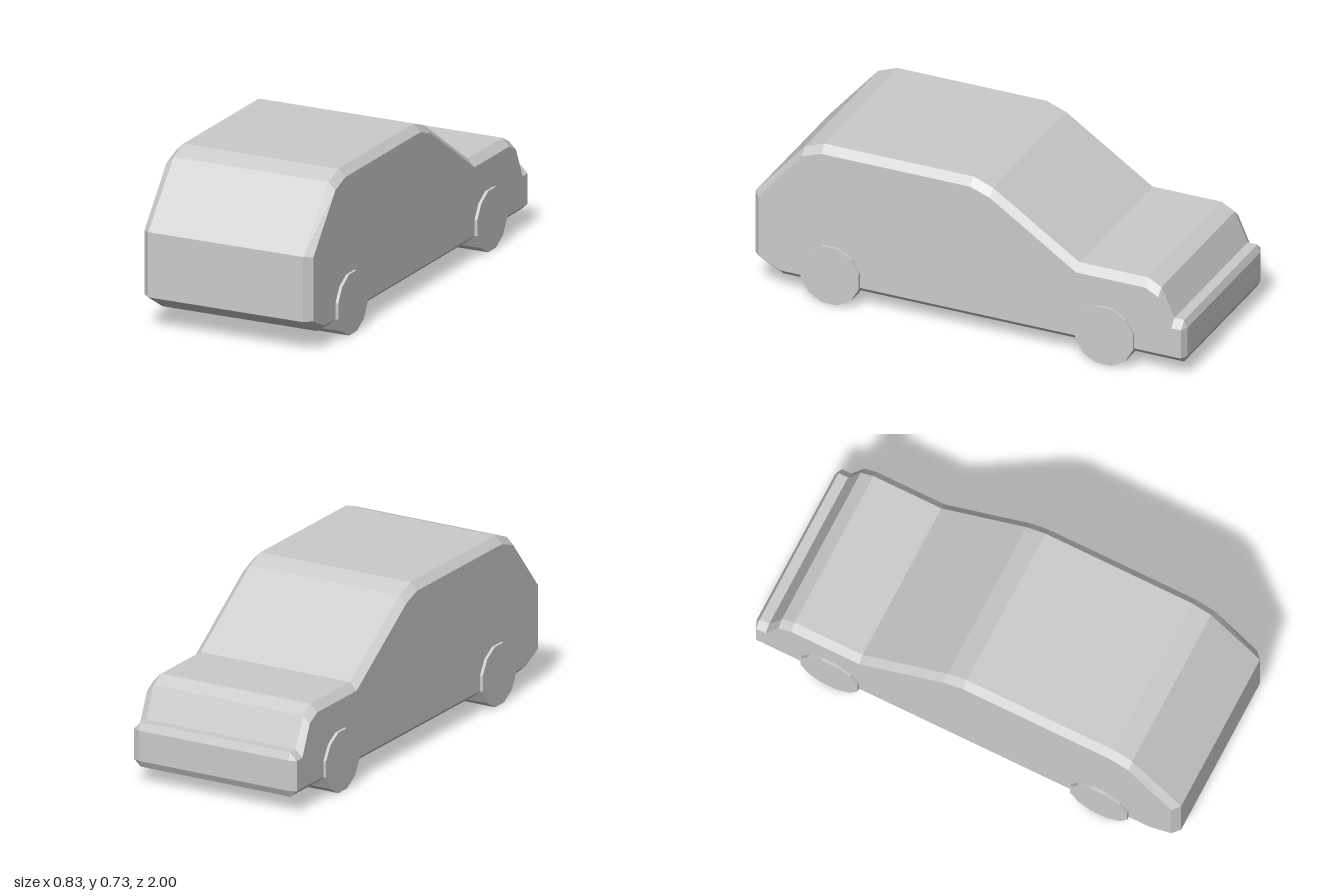
import * as THREE from 'three';

const material = new THREE.MeshStandardMaterial({ color: 0xcccccc, flatShading: true });

// Side profile from the tail over the roof to the bumper: [z, y, side z, side y]
const PROFILE = [
  [1.0, 0.147, 0.97, 0.147],
  [1.0, 0.435, 0.97, 0.43],
  [0.77, 0.70, 0.77, 0.668],
  [0.68, 0.733, 0.68, 0.70],
  [-0.01, 0.733, -0.01, 0.70],
  [-0.10, 0.70, -0.10, 0.668],
  [-0.50, 0.435, -0.50, 0.402],
  [-0.82, 0.435, -0.82, 0.402],
  [-0.88, 0.402, -0.88, 0.37],
  [-0.94, 0.268, -0.94, 0.235],
  [-0.985, 0.268, -0.985, 0.235],
  [-1.0, 0.235, -0.985, 0.235],
  [-1.0, 0.10, -0.985, 0.10],
  [-0.985, 0.07, -0.985, 0.10],
  [0.87, 0.07, 0.87, 0.10],
];

// Shell lofted across the car, with bevelled shoulders and flat sides
function bodyGeometry() {
  const ring = (x, k) => PROFILE.map(p => new THREE.Vector3(x, p[k + 1], p[k]));
  const rings = [ring(-0.4, 2), ring(-0.367, 0), ring(0.367, 0), ring(0.4, 2)];
  const points = [];
  const n = PROFILE.length;
  for (let r = 0; r < 3; r++) {
    const a = rings[r], b = rings[r + 1];
    for (let i = 0; i < n; i++) {
      const j = (i + 1) % n;
      points.push(a[i], b[i], b[j], a[i], b[j], a[j]);
    }
  }
  // Flat side panels; coincident side points are used once
  const keep = [...PROFILE.keys()].filter(i => i !== 11 && i !== 13);
  const contour = keep.map(i => new THREE.Vector2(PROFILE[i][2], PROFILE[i][3]));
  for (const [a, b, c] of THREE.ShapeUtils.triangulateShape(contour, [])) {
    const [i, j, k] = [keep[a], keep[b], keep[c]];
    points.push(rings[0][i], rings[0][j], rings[0][k]);
    points.push(rings[3][i], rings[3][k], rings[3][j]);
  }
  const geometry = new THREE.BufferGeometry().setFromPoints(points);
  geometry.computeVertexNormals();
  return geometry;
}

export function createModel() {
  const car = new THREE.Group();
  car.name = 'car';

  const body = new THREE.Mesh(bodyGeometry(), material);
  body.name = 'body';
  car.add(body);

  // Four twelve-sided wheels standing on a flat facet
  const radius = 0.139, height = radius * Math.cos(Math.PI / 12);
  const wheelGeometry = new THREE.CylinderGeometry(radius, radius, 0.197, 12, 1, false, Math.PI / 12);
  wheelGeometry.rotateZ(Math.PI / 2);
  for (const [end, z] of [['front', 0.635], ['back', -0.635]]) {
    for (const [side, s] of [['Left', 1], ['Right', -1]]) {
      const wheel = new THREE.Mesh(wheelGeometry, material);
      wheel.name = `${end}${side}Wheel`;
      wheel.position.set(s * 0.315, height, z);
      car.add(wheel);
    }
  }
  return car;
}
